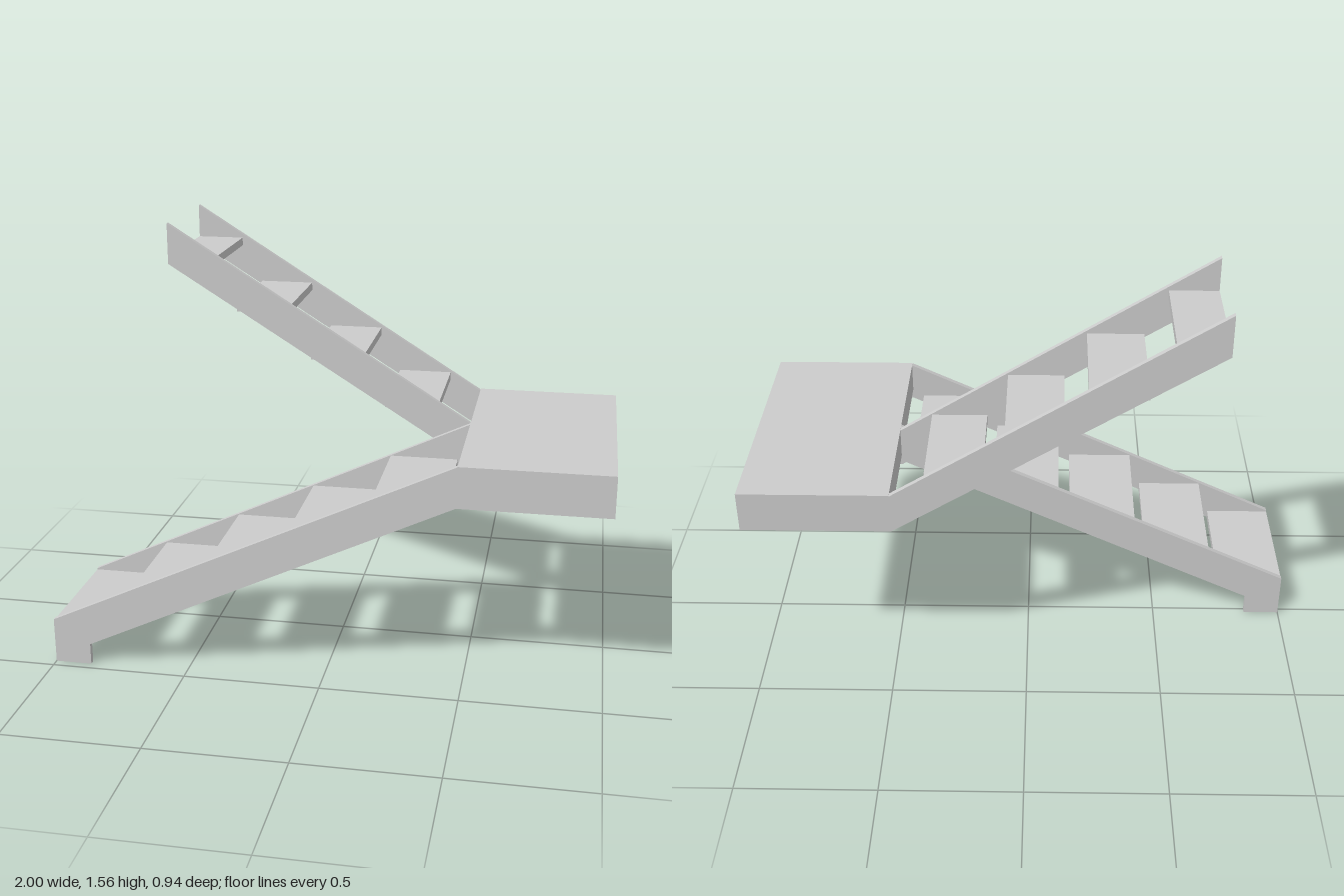
import * as THREE from 'three';

const material = new THREE.MeshStandardMaterial({ color: 0xcccccc, flatShading: true, side: THREE.DoubleSide });
const BOARD = 0.02;  // stringer and rim thickness
const TREAD = 0.03;  // tread thickness

export function createModel() {
  const group = new THREE.Group();
  group.name = 'staircase';

  const add = (name, geometry) => {
    const mesh = new THREE.Mesh(geometry, material);
    mesh.name = name;
    group.add(mesh);
  };

  // Box given by its limits on each axis
  const box = (name, x0, x1, y0, y1, z0, z1) => {
    const g = new THREE.BoxGeometry(x1 - x0, y1 - y0, z1 - z0);
    g.translate((x0 + x1) / 2, (y0 + y1) / 2, (z0 + z1) / 2);
    add(name, g);
  };

  // Side board cut from an x-y outline, starting at depth z
  const board = (name, outline, z) => {
    const shape = new THREE.Shape(outline.map(([x, y]) => new THREE.Vector2(x, y)));
    const g = new THREE.ExtrudeGeometry(shape, { depth: BOARD, bevelEnabled: false });
    g.translate(0, 0, z);
    add(name, g);
  };

  // Outlines run level under the landing as far as xEnd
  const lowerOutline = (xEnd) => [
    [-1, 0], [-0.865, 0], [-0.865, 0.08], [0.47, 0.71],
    [xEnd, 0.71], [xEnd, 0.858], [0.47, 0.858], [-1, 0.17],
  ];
  const upperOutline = (xEnd) => [
    [-0.66, 1.41], [0.47, 0.71], [xEnd, 0.71],
    [xEnd, 0.858], [0.47, 0.858], [-0.66, 1.56],
  ];

  // Stringers: outer ones carry on as the landing's rims, inner ones stop short
  board('lowerOuterStringer', lowerOutline(1), 0.448);
  board('lowerInnerStringer', lowerOutline(0.56), -0.02);
  board('upperInnerStringer', upperOutline(0.56), -0.04);
  board('upperOuterStringer', upperOutline(1), -0.468);

  // Landing: slab with an end rim hanging below it
  box('landingSlab', 0.472, 1, 0.75, 0.86, -0.468, 0.468);
  box('landingEndRim', 1 - BOARD, 1, 0.71, 0.86, -0.468, 0.468);

  // Lower flight climbs towards +x
  for (let i = 0; i < 5; i++) {
    const x = -1 + i * 0.295;
    const y = 0.165 + i * 0.139;
    box('lowerTread' + (i + 1), x, x + 0.25, y - TREAD, y, 0, 0.448);
  }

  // Upper flight climbs back towards -x; the last tread is trimmed at the end
  for (let i = 0; i < 4; i++) {
    const x = 0.352 - i * 0.279;
    const y = 0.927 + i * 0.17;
    box('upperTread' + (i + 1), Math.max(x - 0.202, -0.66), x, y - TREAD, y, -0.448, -0.04);
  }

  return group;
}
